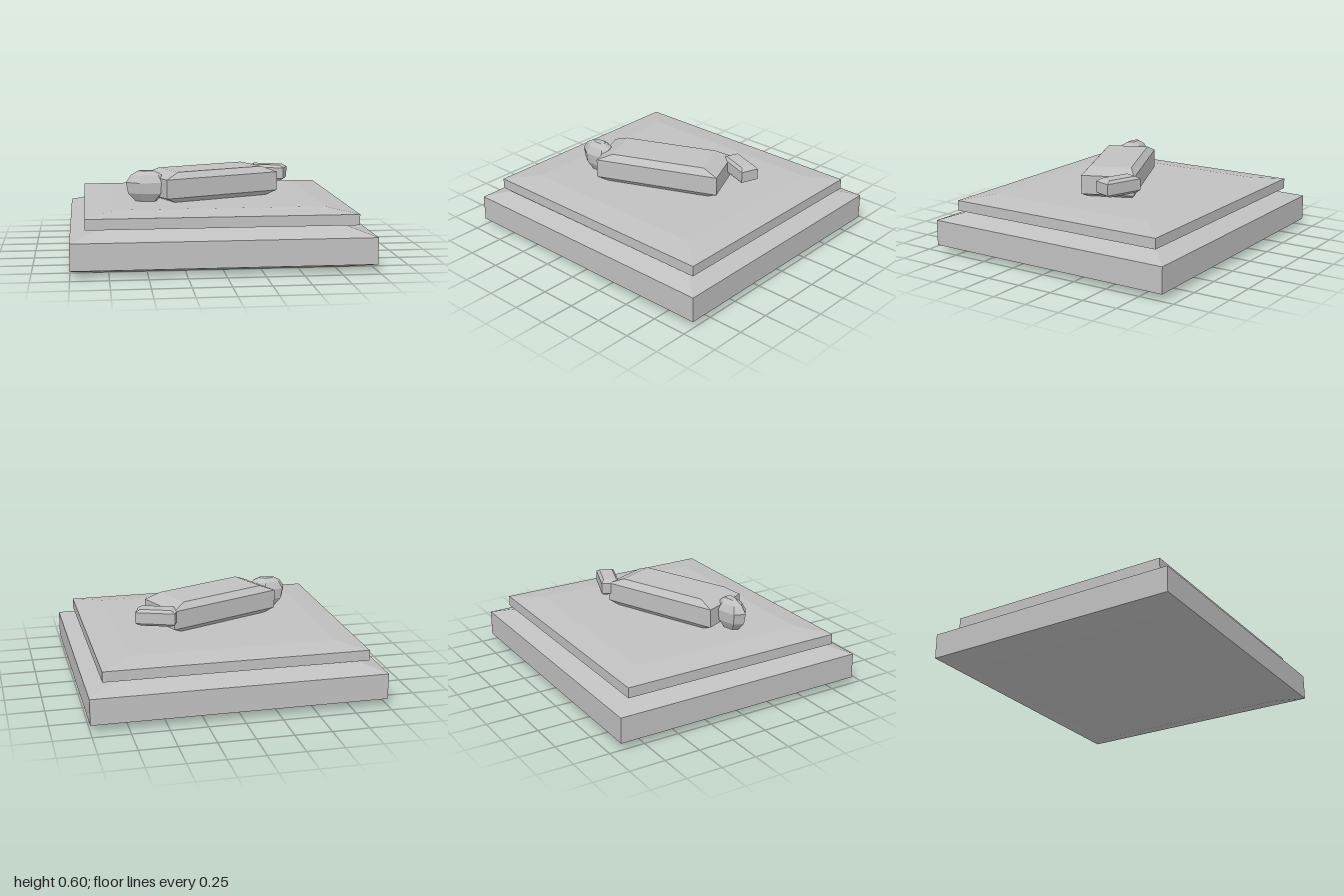
import * as THREE from 'three';

// Stacks scaled copies of an outline; each level is [y, scaleX, scaleZ].
function loft(outline, levels) {
  const pos = [];
  const rings = levels.map(([y, sx, sz]) => outline.map(([x, z]) => [x * sx, y, z * sz]));
  const n = outline.length;
  const tri = (a, b, c) => pos.push(...a, ...b, ...c);
  const first = rings[0], last = rings[rings.length - 1];
  for (let i = 0; i < n; i++) {
    const j = (i + 1) % n;
    for (let k = 0; k < rings.length - 1; k++) {
      const lo = rings[k], hi = rings[k + 1];
      tri(lo[i], lo[j], hi[j]);
      tri(lo[i], hi[j], hi[i]);
    }
    tri([0, last[0][1], 0], last[i], last[j]);
    tri([0, first[0][1], 0], first[j], first[i]);
  }
  const g = new THREE.BufferGeometry();
  g.setAttribute('position', new THREE.Float32BufferAttribute(pos, 3));
  g.computeVertexNormals();
  return g;
}

const square = [[-1, 1], [1, 1], [1, -1], [-1, -1]];

// Block whose top and bottom faces are inset from its upright walls.
function bevelBlock(hx, hz, insetX, insetZ, [y0, y1, y2, y3]) {
  const ix = hx - insetX, iz = hz - insetZ;
  return loft(square, [[y0, ix, iz], [y1, hx, hz], [y2, hx, hz], [y3, ix, iz]]);
}

export function createModel() {
  const group = new THREE.Group();
  const stone = new THREE.MeshStandardMaterial({ color: 0xc0c0c0 });
  stone.name = 'grey stone';

  const add = (name, geometry, x = 0, z = 0, turn = 0) => {
    const mesh = new THREE.Mesh(geometry, stone);
    mesh.name = name;
    mesh.position.set(x, 0, z);
    mesh.rotation.y = turn;
    group.add(mesh);
  };

  // Stepped plinth
  add('lowerSlab', bevelBlock(1, 0.917, 0.18, 0.167, [0, 0.046, 0.224, 0.28]));
  add('upperSlab', bevelBlock(0.9, 0.805, 0.2, 0.18, [0.26, 0.288, 0.36, 0.388]));

  // Reclining body with a short block at one end
  add('body', bevelBlock(0.44, 0.184, 0.105, 0.039, [0.375, 0.42, 0.55, 0.593]), -0.01, 0.07, 0.402);
  add('tail', bevelBlock(0.138, 0.064, 0.033, 0.018, [0.455, 0.474, 0.552, 0.571]), 0.436, -0.219, -0.35);

  // Faceted head
  const headOutline = [
    [-0.14, 0.025], [-0.05, 0.085], [0.105, 0.085], [0.14, 0.02],
    [0.105, -0.05], [0.03, -0.087], [-0.11, -0.05],
  ];
  add('head', loft(headOutline, [
    [0.385, 0.5, 0.5], [0.445, 0.9, 0.92], [0.52, 1, 1], [0.57, 0.75, 0.7], [0.597, 0.4, 0.3],
  ]), -0.475, 0.25);

  return group;
}
